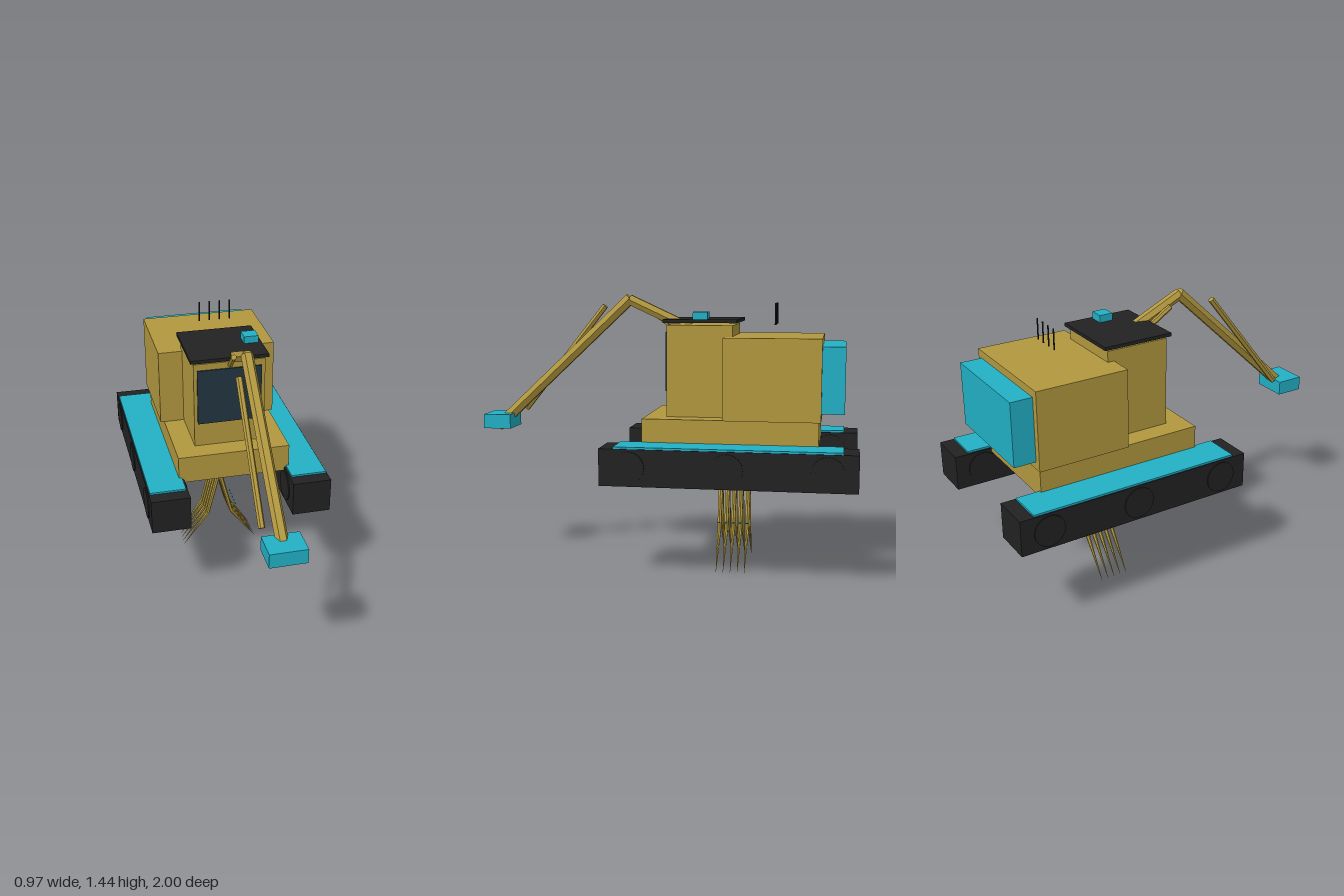
import * as THREE from 'three';

const mat = (name, color) => {
  const m = new THREE.MeshStandardMaterial({ color });
  m.name = name;
  return m;
};

export function createModel() {
  const gold = mat('gold paint', 0xb2983f);
  const teal = mat('teal paint', 0x22b0c6);
  const black = mat('black rubber', 0x222222);
  const glass = mat('dark glass', 0x233542);
  const model = new THREE.Group();
  model.name = 'excavator';

  const add = (name, geometry, material, parent = model) => {
    const mesh = new THREE.Mesh(geometry, material);
    mesh.name = name;
    parent.add(mesh);
    return mesh;
  };
  // Box given by its minimum and maximum on each axis
  const box = (name, material, [x0, x1], [y0, y1], [z0, z1], parent) => {
    const mesh = add(name, new THREE.BoxGeometry(x1 - x0, y1 - y0, z1 - z0), material, parent);
    mesh.position.set((x0 + x1) / 2, (y0 + y1) / 2, (z0 + z1) / 2);
    return mesh;
  };
  // Faceted rod from a to b
  const rod = (name, material, a, b, ra, rb, sides = 6, parent = model) => {
    const start = new THREE.Vector3(...a), end = new THREE.Vector3(...b);
    const dir = end.clone().sub(start);
    const geometry = new THREE.CylinderGeometry(rb, ra, dir.length(), sides).toNonIndexed();
    if (sides === 6) geometry.rotateY(Math.PI / 6 + Math.PI / 3);
    geometry.computeVertexNormals();
    const mesh = add(name, geometry, material, parent);
    mesh.position.copy(start).add(end).multiplyScalar(0.5);
    mesh.quaternion.setFromUnitVectors(new THREE.Vector3(0, 1, 0), dir.normalize());
    return mesh;
  };

  // Hull, engine housing and cab
  box('base', gold, [-0.3, 0.3], [0.665, 0.815], [-0.8, 0.095]);
  box('engineHousing', gold, [-0.32, 0.32], [0.815, 1.23], [-0.81, -0.32]);
  box('counterweight', teal, [-0.285, 0.285], [0.855, 1.19], [-0.925, -0.805]);
  box('cab', gold, [-0.19, 0.19], [0.815, 1.287], [-0.355, -0.015]);
  box('windscreen', glass, [-0.172, 0.17], [0.947, 1.252], [-0.015, -0.007]);
  box('roof', black, [-0.208, 0.205], [1.299, 1.317], [-0.378, 0.002]);
  box('beacon', teal, [0.11, 0.187], [1.316, 1.355], [-0.225, -0.15]);

  // Tracks with fenders and wheels
  for (const side of [-1, 1]) {
    const track = new THREE.Group();
    track.name = side > 0 ? 'leftTrack' : 'rightTrack';
    model.add(track);
    const span = (a, b) => (side > 0 ? [a, b] : [-b, -a]);
    box('trackBelt', black, span(0.274, 0.48), [0.497, 0.685], [-1, 0.28], track);
    box('fender', teal, span(0.284, 0.474), [0.683, 0.695], [-0.925, 0.207], track);
    for (const z of [0.13, -0.36, -0.85]) {
      const wheel = add('wheel', new THREE.CylinderGeometry(0.082, 0.082, 0.218, 16), black, track);
      wheel.rotation.z = Math.PI / 2;
      wheel.position.set(side * 0.377, 0.592, z);
    }
  }

  // Antennas
  for (const x of [-0.042, 0.015, 0.072, 0.129]) {
    rod('antenna', black, [x, 1.29, -0.567], [x, 1.4, -0.567], 0.004, 0.004, 8);
  }

  // Digging arm
  const arm = new THREE.Group();
  arm.name = 'arm';
  model.add(arm);
  rod('boom', gold, [0.035, 1.23, -0.19], [0.035, 1.415, 0.21], 0.03, 0.03, 6, arm);
  rod('stick', gold, [0.035, 1.42, 0.205], [0.035, 0.724, 0.948], 0.032, 0.032, 6, arm);
  rod('boomCylinder', gold, [0.008, 1.245, -0.05], [-0.012, 1.375, 0.125], 0.015, 0.015, 6, arm);
  rod('stickCylinder', gold, [-0.043, 1.38, 0.36], [-0.043, 0.815, 0.812], 0.017, 0.017, 6, arm);
  box('bucket', teal, [-0.058, 0.13], [0.722, 0.798], [0.852, 1.0], arm);

  // Two rows of jointed claws below the hull
  for (let i = 0; i < 5; i++) {
    const z = -0.28 - i * 0.037;
    for (const side of [-1, 1]) {
      const claw = new THREE.Group();
      claw.name = 'claw';
      model.add(claw);
      rod('upperClaw', gold, [0, 0.478, z], [side * 0.072, 0.195, z], 0.013, 0.011, 6, claw);
      rod('clawTip', gold, [side * 0.07, 0.2, z], [side * 0.212, 0.003, z], 0.011, 0.001, 6, claw);
    }
    box('clawLight', teal, [0.094, 0.099], [0.239, 0.244], [z - 0.006, z + 0.006]);
  }
  return model;
}
